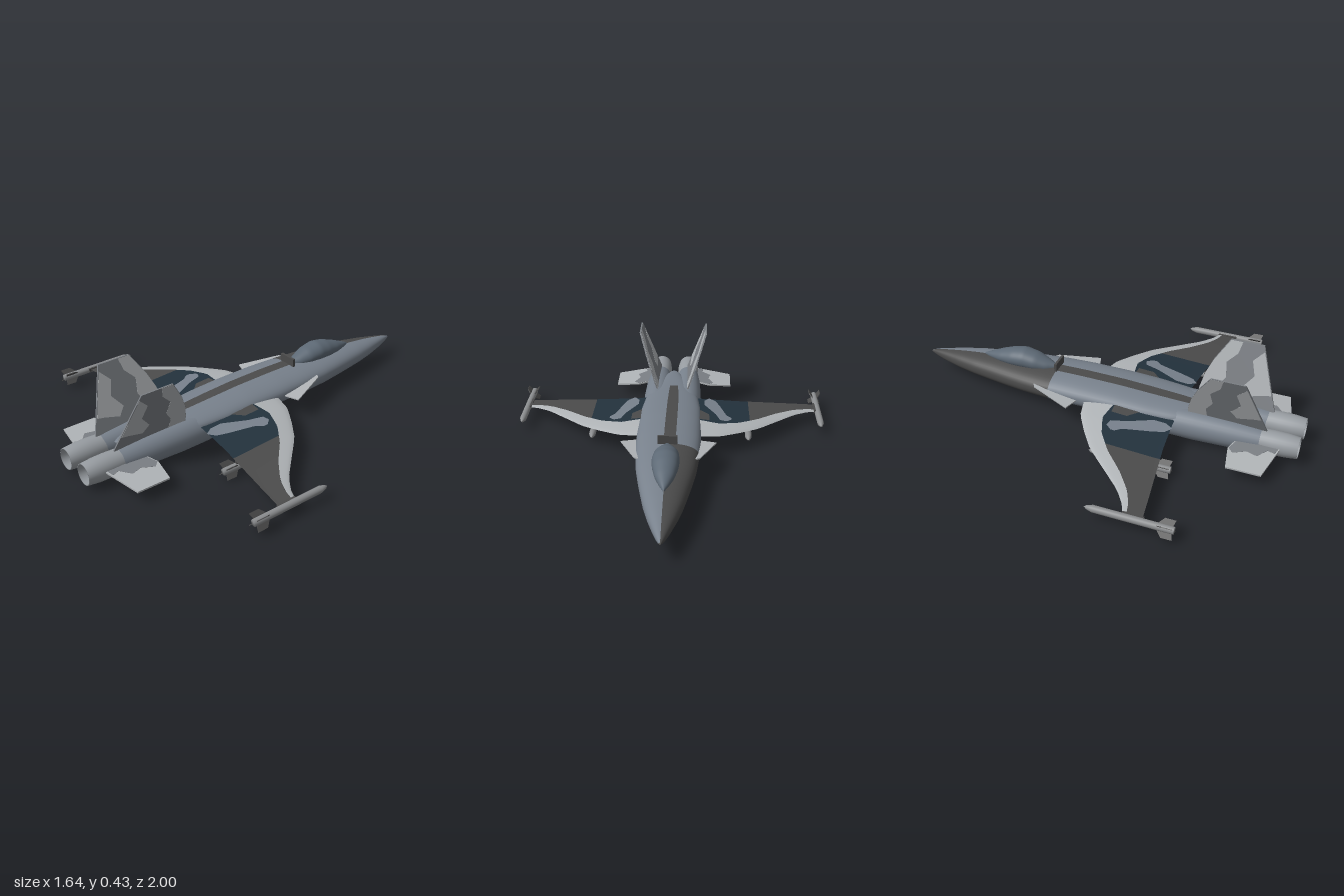
import * as THREE from 'three';

const mat = (name, color, side = THREE.FrontSide) => {
  const m = new THREE.MeshStandardMaterial({ color, side });
  m.name = name;
  return m;
};

// Linear lookup in a table whose first column is the key
function look(table, key, col) {
  let i = 0;
  while (i < table.length - 2 && key > table[i + 1][0]) i++;
  const a = table[i], b = table[i + 1];
  const t = Math.min(1, Math.max(0, (key - a[0]) / (b[0] - a[0])));
  return a[col] + (b[col] - a[col]) * t;
}

// Smooth grid surface; fn(row, column) returns [x, y, z]
function grid(rows, cols, fn, flip = false) {
  const pos = [], idx = [];
  for (let i = 0; i <= rows; i++) for (let j = 0; j <= cols; j++) pos.push(...fn(i / rows, j / cols));
  for (let i = 0; i < rows; i++) for (let j = 0; j < cols; j++) {
    const a = i * (cols + 1) + j, b = a + 1, c = a + cols + 1, d = c + 1;
    idx.push(...(flip ? [a, c, b, b, c, d] : [a, b, c, b, d, c]));
  }
  const g = new THREE.BufferGeometry();
  g.setAttribute('position', new THREE.Float32BufferAttribute(pos, 3));
  g.setIndex(idx);
  g.computeVertexNormals();
  return g;
}

// Superellipse body through [z, half width, top, bottom] sections
function loft(table, z0, z1, a0, a1, n = 2, grow = 1) {
  const bend = v => Math.sign(v) * Math.abs(v) ** (2 / n);
  return grid(36, Math.ceil((a1 - a0) / 9), (u, v) => {
    const z = z0 + (z1 - z0) * u, a = (a0 + (a1 - a0) * v) * Math.PI / 180;
    const top = look(table, z, 2), bot = look(table, z, 3);
    return [bend(Math.cos(a)) * look(table, z, 1) * grow,
      (top + bot) / 2 + bend(Math.sin(a)) * (top - bot) / 2 * grow, z];
  });
}

function slab(points, depth) {
  const shape = new THREE.Shape(points.map(p => new THREE.Vector2(...p)));
  return new THREE.ExtrudeGeometry(shape, { depth, bevelEnabled: false, steps: 1 }).translate(0, 0, -depth / 2);
}

// Move vertices by a rule, mirror to the chosen side, keep faces outward
function place(geo, side, rule) {
  let g = geo.index ? geo.toNonIndexed() : geo;
  const p = g.attributes.position;
  for (let i = 0; i < p.count; i++) {
    const [x, y, z] = rule(p.getX(i), p.getY(i), p.getZ(i));
    p.setXYZ(i, x * side, y, z);
  }
  if (side < 0) for (let i = 0; i < p.count; i += 3) {
    const b = [p.getX(i + 1), p.getY(i + 1), p.getZ(i + 1)];
    p.setXYZ(i + 1, p.getX(i + 2), p.getY(i + 2), p.getZ(i + 2));
    p.setXYZ(i + 2, ...b);
  }
  g.computeVertexNormals();
  return g;
}

const BODY = [ // z, half width, top, bottom
  [-0.99, 0.006, 0.105, 0.092], [-0.95, 0.021, 0.117, 0.078], [-0.9, 0.037, 0.127, 0.067], [-0.8, 0.066, 0.143, 0.054],
  [-0.7, 0.09, 0.155, 0.047], [-0.6, 0.108, 0.163, 0.042], [-0.5, 0.125, 0.168, 0.039], [-0.4, 0.14, 0.172, 0.037],
  [-0.25, 0.154, 0.176, 0.037], [-0.1, 0.16, 0.178, 0.04], [0.1, 0.16, 0.175, 0.045], [0.25, 0.157, 0.167, 0.05],
  [0.4, 0.142, 0.158, 0.06], [0.52, 0.112, 0.15, 0.07], [0.65, 0.07, 0.143, 0.082], [0.75, 0.03, 0.134, 0.098], [0.79, 0.006, 0.122, 0.11]];
const CANOPY = [
  [-0.67, 0.003, 0.164, 0.15], [-0.63, 0.022, 0.182, 0.145], [-0.57, 0.045, 0.207, 0.14], [-0.5, 0.06, 0.231, 0.135],
  [-0.44, 0.064, 0.241, 0.135], [-0.37, 0.058, 0.227, 0.135], [-0.31, 0.04, 0.203, 0.14], [-0.25, 0.006, 0.18, 0.15]];
const WING = [ // x, leading edge, crest, trailing edge
  [0.1, -0.06, 0.12, 0.41], [0.16, -0.05, 0.1, 0.41], [0.25, -0.03, 0.085, 0.415], [0.35, 0.03, 0.12, 0.422],
  [0.45, 0.1, 0.19, 0.435], [0.55, 0.205, 0.285, 0.447], [0.65, 0.31, 0.36, 0.46], [0.72, 0.36, 0.39, 0.468], [0.78, 0.385, 0.402, 0.475]];
const wingY = (x, z, s) => {
  const l = look(WING, x, 1), c = look(WING, x, 2), t = look(WING, x, 3);
  const f = z < c ? Math.sqrt(Math.max(0, (z - l) / (c - l))) : (t - z) / (t - c);
  return 0.118 - (x - 0.1) * 0.085 + s * (0.022 - (x - 0.1) * 0.025) * Math.max(0.08, f);
};

export function createModel() {
  const root = new THREE.Group();
  root.name = 'jet';
  const M = {
    body: mat('blue grey', 0x78818c), dark: mat('charcoal', 0x4b4b4b),
    light: mat('pale grey', 0xb0b4b7), mid: mat('medium grey', 0x7b7f84),
    navy: mat('deep navy', 0x23323d), glass: mat('canopy grey', 0x5d6975),
    metal: mat('nozzle grey', 0x979ca1, THREE.DoubleSide), glow: mat('exhaust orange', 0xe08035),
    store: mat('missile grey', 0x8b8d8f),
  };
  const add = (name, geo, m, parent = root) => {
    const mesh = new THREE.Mesh(geo, m);
    mesh.name = name;
    parent.add(mesh);
    return mesh;
  };

  // Fuselage: two-tone nose, plain rear, dark spine strip, canopy
  add('noseLeft', loft(BODY, -0.99, -0.25, -90, 90, 2.3), M.body);
  add('noseRight', loft(BODY, -0.99, -0.25, 90, 270, 2.3), M.dark);
  add('rearFuselage', loft(BODY, -0.25, 0.79, -90, 270, 2.3), M.body);
  add('spineStrip', loft(BODY, -0.25, 0.5, 85, 101, 2.3, 1.015), M.dark);
  add('canopy', loft(CANOPY, -0.67, -0.25, -90, 270), M.glass);
  add('noseTip', new THREE.ConeGeometry(0.016, 0.04, 12).rotateX(-Math.PI / 2).translate(0, 0.098, -0.98), M.dark);
  add('dorsalPlate', new THREE.BoxGeometry(0.094, 0.042, 0.012).translate(0, 0.196, -0.25), M.dark);
  add('tailSpike', new THREE.ConeGeometry(0.02, 0.08, 10).rotateX(Math.PI / 2).translate(0, 0.116, 0.75), M.dark);

  const lathe = pts => new THREE.LatheGeometry(pts.map(p => new THREE.Vector2(...p)), 28).rotateX(Math.PI / 2);

  // Missile pointing to -z with four crossed tail fins
  function missile(name, x, y, z0, length) {
    const g = new THREE.Group();
    g.name = name;
    g.position.set(x, y, z0);
    add('missileBody', lathe([[0, 0], [0.009, 0.012], [0.017, 0.04], [0.017, length], [0, length]]), M.store, g);
    for (let k = 0; k < 4; k++) {
      const fin = slab([[0.01, length - 0.08], [0.043, length - 0.05], [0.043, length], [0.01, length - 0.01]], 0.004);
      add('missileFin', fin.rotateX(Math.PI / 2).rotateZ(Math.PI / 4 + k * Math.PI / 2), M.dark, g);
    }
    root.add(g);
  }

  for (const s of [1, -1]) {
    const tag = s > 0 ? 'left' : 'right';

    // Engine, open nozzle and glowing core
    add(tag + 'Engine', lathe([[0, 0.02], [0.045, 0.08], [0.062, 0.2], [0.073, 0.36], [0.075, 0.5], [0.07, 0.68], [0.058, 0.82]])
      .translate(s * 0.08, 0.075, 0), M.body);
    add(tag + 'Nozzle', lathe([[0.056, 0.8], [0.059, 0.88], [0.058, 0.94], [0.052, 1], [0.048, 1], [0.046, 0.86]])
      .translate(s * 0.078, 0.075, 0), M.metal);
    add(tag + 'ExhaustGlow', new THREE.CircleGeometry(0.047, 28).translate(s * 0.078, 0.075, 0.87), M.glow);

    // Wing skin panels between two edge lines
    const strip = (name, x0, x1, from, to, m, up, lift = 0) => add(tag + name, grid(24, 8, (u, v) => {
      const x = x0 + (x1 - x0) * u, a = from(x), z = a + (to(x) - a) * v;
      return [s * x, wingY(x, z, up) + lift, z];
    }, s * up < 0), m);
    const lead = x => look(WING, x, 1), crest = x => look(WING, x, 2), trail = x => look(WING, x, 3);
    strip('WingLeadingEdge', 0.1, 0.78, lead, crest, M.light, 1);
    strip('WingInnerPanel', 0.1, 0.41, crest, trail, M.navy, 1);
    strip('WingOuterPanel', 0.41, 0.78, crest, trail, M.dark, 1);
    strip('WingUndersideFront', 0.1, 0.78, lead, crest, M.mid, -1);
    strip('WingUndersideRear', 0.1, 0.78, crest, trail, M.mid, -1);
    const blob = [[0.175, 0.32, 0.38], [0.2, 0.27, 0.42], [0.235, 0.2, 0.39], [0.255, 0.13, 0.33], [0.29, 0.12, 0.2], [0.315, 0.15, 0.17]];
    strip('WingCamouflage', 0.175, 0.315, x => look(blob, x, 1), x => look(blob, x, 2), M.body, 1, 0.002);
    strip('WingRootCamouflage', 0.14, 0.2, x => 0.11, x => 0.25 - (x - 0.14), M.dark, 1, 0.002);

    // Strake ahead of the wing
    const flat = (pts, d) => slab(pts, d).rotateX(Math.PI / 2);
    add(tag + 'Strake', place(flat([[0.12, -0.34], [0.155, -0.32], [0.235, -0.115], [0.12, -0.08]], 0.006), s,
      (x, y, z) => [x, y + 0.112 - (z + 0.1) * 0.1, z]), M.light);

    // Tailplane with a darker root patch
    const droop = (x, y, z) => [x, y + 0.085 - (x - 0.1) * 0.1, z];
    add(tag + 'Tailplane', place(flat([[0.09, 0.73], [0.2, 0.69], [0.323, 0.712], [0.323, 0.878], [0.09, 0.93]], 0.008), s, droop), M.light);
    add(tag + 'TailplanePatch', place(flat([[0.09, 0.735], [0.2, 0.695], [0.225, 0.72], [0.195, 0.78], [0.21, 0.83], [0.16, 0.87], [0.17, 0.905], [0.09, 0.925]], 0.01), s, droop), M.mid);

    // Outward-leaning fin with camouflage patches; points are (z, y)
    const lean = (x, y, z) => [x + 0.077 + (y - 0.13) * 0.345, y, z];
    const upright = (pts, d) => place(slab(pts, d).rotateY(-Math.PI / 2), s, lean);
    add(tag + 'Fin', upright([[0.455, 0.11], [0.462, 0.18], [0.48, 0.25], [0.514, 0.325], [0.58, 0.428], [0.744, 0.428], [0.846, 0.125]], 0.008), M.mid);
    add(tag + 'FinFrontPatch', upright([[0.46, 0.13], [0.463, 0.18], [0.481, 0.25], [0.515, 0.323], [0.582, 0.426], [0.64, 0.426], [0.625, 0.37],
      [0.575, 0.32], [0.585, 0.25], [0.55, 0.2], [0.555, 0.13]], 0.0095), M.light);
    add(tag + 'FinRearPatch', upright([[0.75, 0.4], [0.7, 0.35], [0.72, 0.28], [0.67, 0.22], [0.7, 0.18], [0.78, 0.2], [0.815, 0.205]], 0.0095), M.light);

    // Wingtip rail, pylon and missiles
    add(tag + 'WingtipRail', new THREE.BoxGeometry(0.02, 0.016, 0.1).translate(s * 0.775, 0.06, 0.43), M.dark);
    add(tag + 'Pylon', new THREE.BoxGeometry(0.014, 0.05, 0.18).translate(s * 0.403, 0.066, 0.32), M.dark);
    missile(tag + 'WingtipMissile', s * 0.787, 0.055, 0.21, 0.41);
    missile(tag + 'PylonMissile', s * 0.403, 0.037, 0.075, 0.405);
  }
  return root;
}
